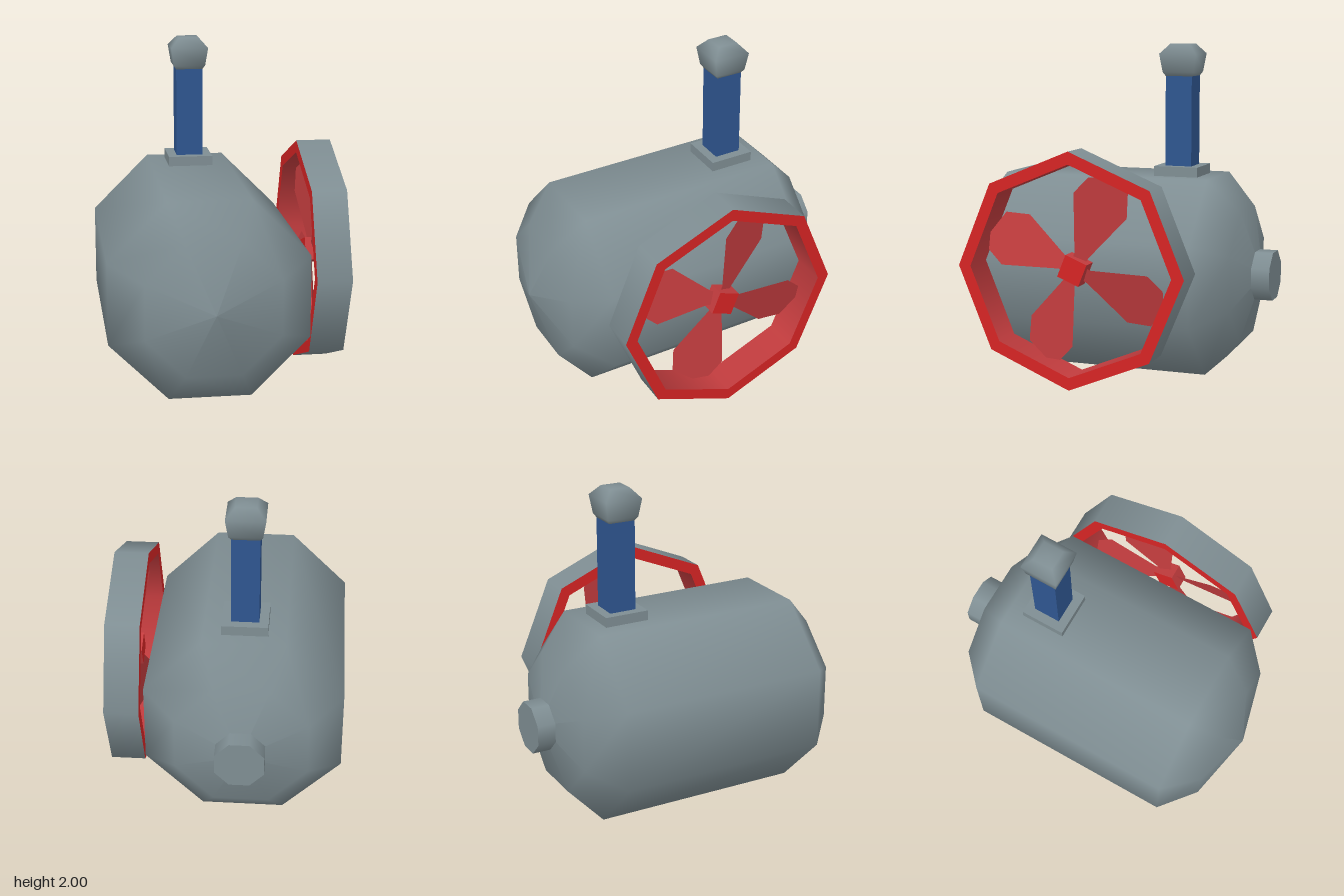
import * as THREE from 'three';

const mat = (name, color, side = THREE.FrontSide) => {
  const m = new THREE.MeshStandardMaterial({ color, side });
  m.name = name;
  return m;
};

export function createModel() {
  const steel = mat('steel grey', 0x7f8e93);
  const blue = mat('mast blue', 0x2f5690);
  const red = mat('bright red', 0xd62424);
  const dullRed = mat('dull red', 0xc23c3e, THREE.DoubleSide);
  const model = new THREE.Group();

  const add = (parent, name, geometry, material, x = 0, y = 0, z = 0) => {
    const mesh = new THREE.Mesh(geometry, material);
    mesh.name = name;
    mesh.position.set(x, y, z);
    parent.add(mesh);
    return mesh;
  };
  // Lathe with flat sides; profile holds [half width, height] pairs
  const facetedLathe = (profile, sides) => new THREE.LatheGeometry(
    profile.map(([r, h]) => new THREE.Vector2(r / Math.cos(Math.PI / sides), h)),
    sides, Math.PI / sides);

  // Octagonal hull lying along z, with domed ends
  const hull = facetedLathe([
    [0, -0.9], [0.395, -0.8], [0.593, -0.61], [0.593, 0.69], [0.395, 0.875], [0, 0.975],
  ], 8).rotateX(Math.PI / 2);
  add(model, 'hull', hull, steel, -0.12, 0.607, 0);

  // Rear plug
  const plugRadius = 0.145 / Math.cos(Math.PI / 8);
  const plug = new THREE.CylinderGeometry(plugRadius, plugRadius, 0.135, 8)
    .rotateY(Math.PI / 8).rotateX(Math.PI / 2);
  add(model, 'rearPlug', plug, steel, -0.12, 0.607, -0.9075);

  // Mast on the roof
  const mast = new THREE.Group();
  mast.name = 'mast';
  mast.position.set(-0.12, 0, -0.38);
  model.add(mast);
  add(mast, 'mastBase', new THREE.BoxGeometry(0.275, 0.07, 0.275), steel, 0, 1.225, 0);
  add(mast, 'mastColumn', new THREE.BoxGeometry(0.165, 0.58, 0.165), blue, 0, 1.53, 0);
  add(mast, 'mastCap', facetedLathe([
    [0, 1.802], [0.08, 1.802], [0.098, 1.83], [0.115, 1.94], [0.062, 2], [0, 2],
  ], 4), steel);

  // Octagonal fan on the left side, axis along x
  const fan = new THREE.Group();
  fan.name = 'fan';
  fan.position.set(0.605, 0.704, 0.04);
  model.add(fan);
  const R = 0.7, inner = 0.625, depth = 0.21;
  const tube = (r) => new THREE.CylinderGeometry(r, r, depth, 8, 1, true).rotateZ(Math.PI / 2);
  add(fan, 'shroudOutside', tube(R), steel);
  add(fan, 'shroudInside', tube(inner), dullRed);
  for (const s of [1, -1]) {
    const rim = new THREE.RingGeometry(inner, R, 8, 1).rotateY(s * Math.PI / 2);
    add(fan, s > 0 ? 'outerRim' : 'innerRim', rim, red, s * depth / 2, 0, 0);
  }

  // Square hub with bright end caps
  const hub = new THREE.CylinderGeometry(0.1, 0.1, 0.1, 4).toNonIndexed();
  hub.computeVertexNormals();
  hub.rotateZ(-Math.PI / 2).rotateX(0.4);
  add(fan, 'hub', hub, [dullRed, red, red]);

  // Four pitched blades, outlined facing +x and turned about the hub
  const outline = [
    [-0.02, 0.05], [0.0, 0.1], [0.005, 0.455], [0.09, 0.545], [0.19, 0.545],
    [0.312, 0.455], [0.302, 0.307], [0.08, 0.07], [0.05, 0.02],
  ];
  const shape = new THREE.Shape(outline.map(([a, b]) => new THREE.Vector2(a, b)));
  const blade = new THREE.ShapeGeometry(shape);
  const p = blade.attributes.position;
  for (let i = 0; i < p.count; i++) {
    const a = p.getX(i), b = p.getY(i);
    p.setZ(i, -0.25 * (0.96 * a - 0.28 * b)); // pitch across the blade
  }
  blade.rotateY(Math.PI / 2);
  blade.computeVertexNormals();
  for (let i = 0; i < 4; i++) {
    add(fan, 'blade' + (i + 1), blade, dullRed).rotation.x = i * Math.PI / 2;
  }

  return model;
}
